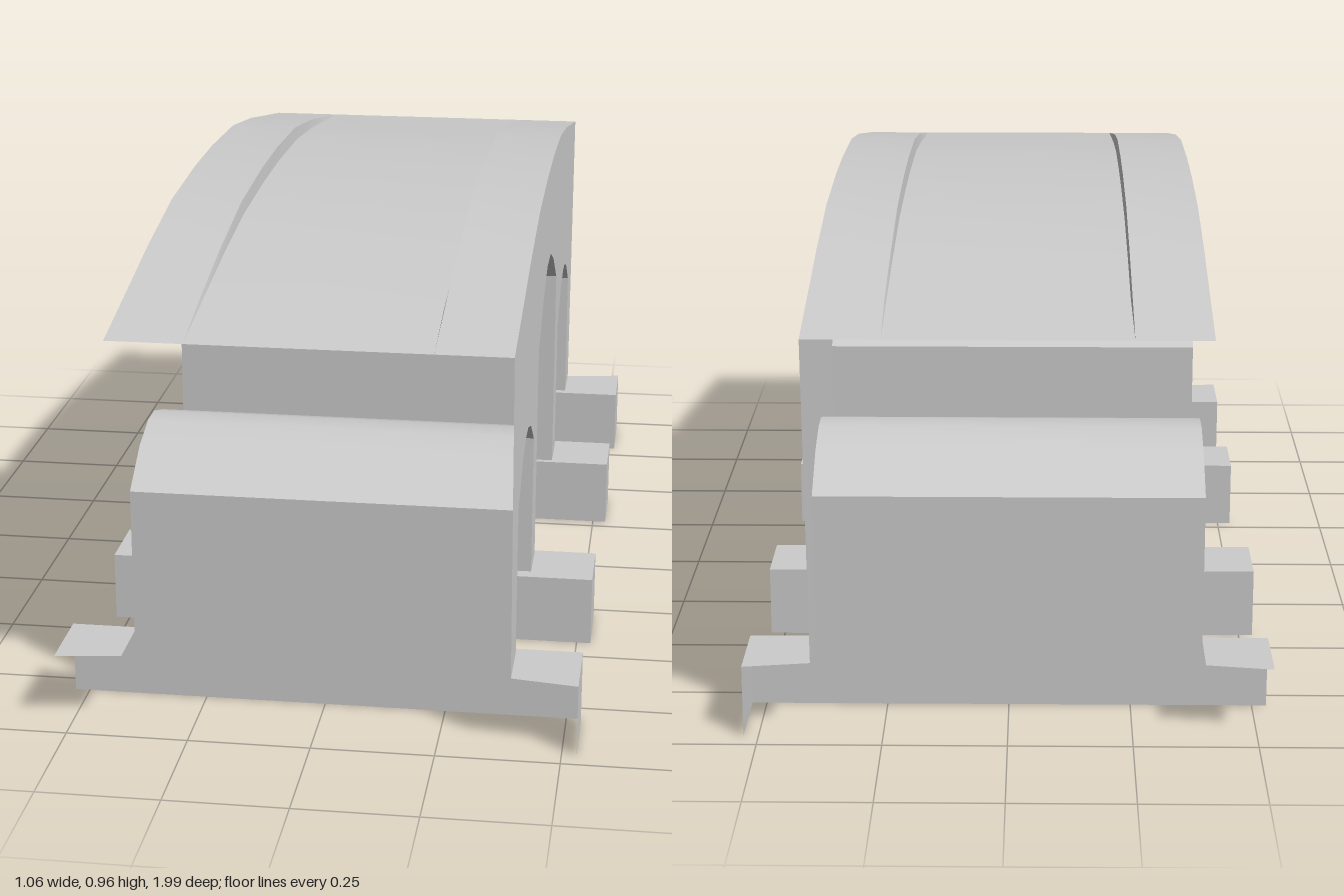
import * as THREE from 'three';
import { toCreasedNormals } from 'three/addons/utils/BufferGeometryUtils.js';

const HALF = 0.395; // half width of the bridge
const FOOT = 0.53; // half length of the pier feet
const FOOT_H = 0.15;

// Mirrors a half profile of [z, y] points about z = c, keeping the order
const mirror = (half, c = 0) => [...half, ...half.slice().reverse().map(([z, y]) => [2 * c - z, y])];

const sideArch = (s) => mirror([[0.82, FOOT_H], [0.82, 0.46], [0.72, 0.525], [0.64, 0.55]], 0.61)
  .map(([z, y]) => [s * z, y]);
const middleArch = mirror([[0.293, FOOT_H], [0.293, 0.62], [0.165, 0.7], [0.055, 0.744]]);
const parapetLine = mirror([[0.995, 0.838], [0.8, 0.875], [0.593, 0.915], [0.353, 0.951], [0.1, 0.963]]);
const roadLine = parapetLine.map(([z, y]) => [z, 0.838 + (y - 0.838) * 0.74]);

// Ruled surface between two [z, y] lines standing at xa and xb
function sheet(lineA, xa, lineB, xb) {
  const pos = [], index = [];
  lineA.forEach(([z, y], i) => {
    pos.push(xa, y, z, xb, lineB[i][1], lineB[i][0]);
    const k = 2 * i;
    if (i > 0) index.push(k - 2, k - 1, k, k - 1, k + 1, k);
  });
  const g = new THREE.BufferGeometry();
  g.setAttribute('position', new THREE.Float32BufferAttribute(pos, 3));
  g.setIndex(index);
  return toCreasedNormals(g, 0.9);
}

export function createModel() {
  const model = new THREE.Group();
  model.name = 'archBridge';
  const stone = new THREE.MeshStandardMaterial({ color: 0xcccccc, side: THREE.DoubleSide });
  stone.name = 'grey stone';
  const add = (name, geometry, parent = model) => {
    const mesh = new THREE.Mesh(geometry, stone);
    mesh.name = name;
    parent.add(mesh);
  };

  // Deck: sunken roadway between two raised parapets
  add('roadway', sheet(roadLine, -0.24, roadLine, 0.24).scale(1, 1, 1));
  for (const s of [-1, 1]) {
    const side = s > 0 ? 'left' : 'right';
    // lines run from +z to -z, so order the edges to face up and inwards
    const top = s > 0 ? [0.243, HALF] : [-HALF, -0.243];
    add(side + 'ParapetTop', sheet(parapetLine, top[0], parapetLine, top[1]));
    add(side + 'ParapetStep', s > 0
      ? sheet(roadLine, 0.24, parapetLine, 0.243)
      : sheet(parapetLine, -0.243, roadLine, -0.24));
  }

  // Barrel vaults with the pier faces below them
  const arches = { frontVault: sideArch(1), middleVault: middleArch, backVault: sideArch(-1).reverse() };
  for (const [name, line] of Object.entries(arches)) add(name, sheet(line, -HALF, line, HALF));

  // Side wall cut out around the three arches
  const outline = [
    ...parapetLine, [-0.94, FOOT_H],
    ...arches.backVault.slice().reverse(), ...middleArch.slice().reverse(),
    ...arches.frontVault.slice().reverse(), [0.94, FOOT_H],
  ];
  const wall = new THREE.ShapeGeometry(new THREE.Shape(outline.map(([z, y]) => new THREE.Vector2(-z, y))));
  add('sideWall', wall.rotateY(Math.PI / 2).translate(HALF, 0, 0));

  // Pier feet: ledges, long faces and the outer end
  const slab = (z0, z1, y0, y1, xa, xb, z2 = z0, z3 = z1) =>
    sheet([[z0, y0], [z1, y1]], xa, [[z2, y0], [z3, y1]], xb);
  for (const s of [-1, 1]) {
    for (const outer of [false, true]) {
      const foot = new THREE.Group();
      foot.name = (s > 0 ? 'front' : 'back') + (outer ? 'EndFoot' : 'MiddleFoot');
      model.add(foot);
      const [inZ, pierIn, pierOut, outZ] = (outer ? [0.8, 0.82, 0.94, 0.96] : [0.28, 0.293, 0.4, 0.43]).map((z) => s * z);
      const nearZ = outer ? pierOut : outZ;
      add('innerFace', slab(inZ, inZ, 0, FOOT_H, -FOOT, FOOT), foot);
      add('innerLedge', slab(inZ, pierIn, FOOT_H, FOOT_H, -HALF, HALF), foot);
      if (!outer) {
        add('outerFace', slab(outZ, outZ, 0, FOOT_H, -FOOT, FOOT), foot);
        add('outerLedge', slab(pierOut, outZ, FOOT_H, FOOT_H, -HALF, HALF), foot);
      }
      for (const e of [-1, 1]) {
        add(e > 0 ? 'leftTab' : 'rightTab', slab(inZ, nearZ, FOOT_H, FOOT_H, e * HALF, e * FOOT, inZ, outZ), foot);
      }
      add('endFace', sheet([[inZ, 0], [inZ, FOOT_H]], FOOT, [[outZ, 0], [outZ, FOOT_H]], FOOT), foot);
    }
  }
  return model;
}
